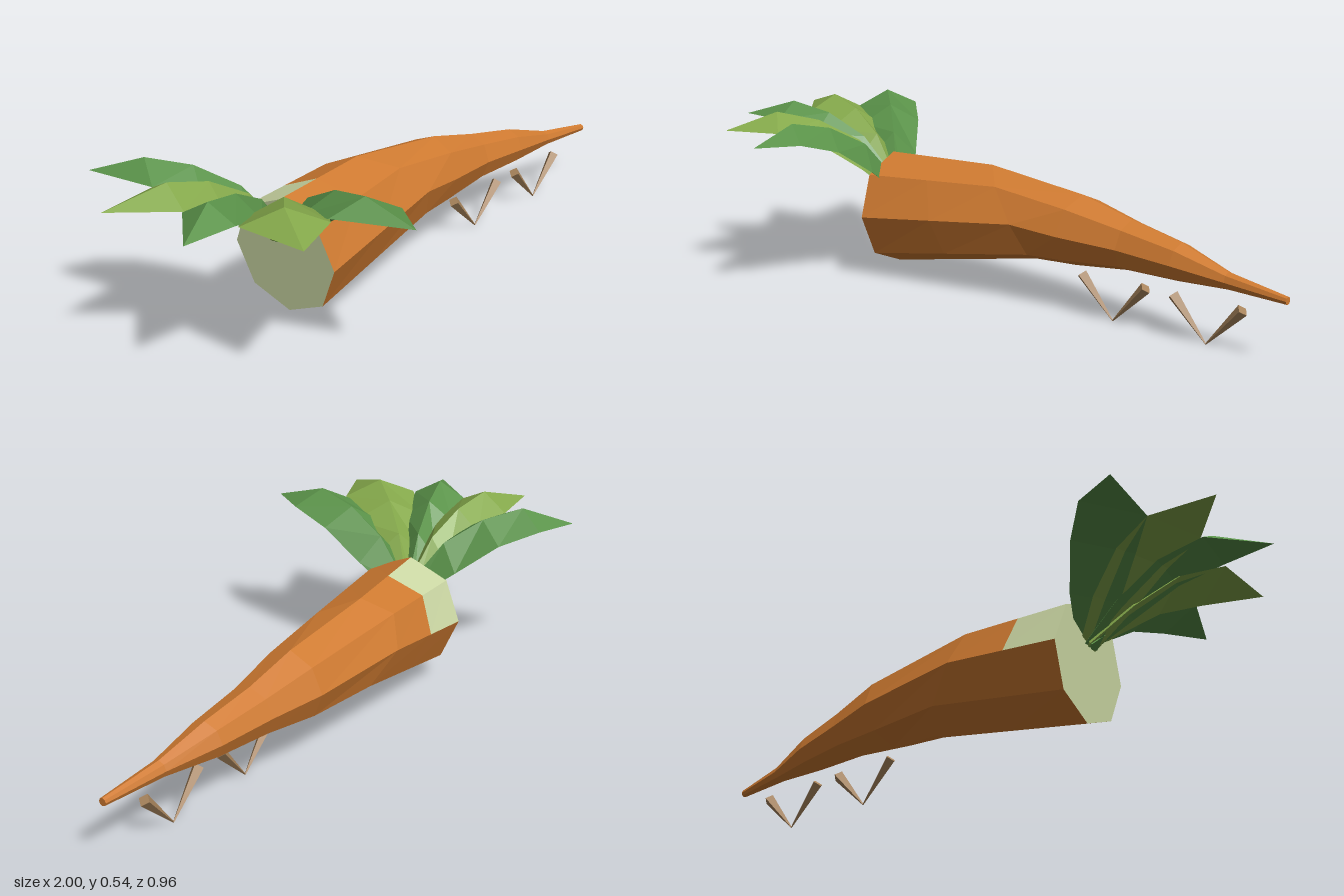
import * as THREE from 'three';

const mat = (name, color) => new THREE.MeshStandardMaterial({ name, color });

// Skin a list of equal-length rings with flat faces; keep(i, j) chooses faces,
// where i = -1 is the start cap and i = rings.length - 1 the end cap.
function loft(rings, keep = () => true) {
  const pos = [], n = rings[0].length, last = rings.length - 1;
  const tri = (...pts) => pts.forEach(p => pos.push(...p));
  const centre = ring => [0, 1, 2].map(k => ring.reduce((s, p) => s + p[k], 0) / n);
  for (let j = 0; j < n; j++) {
    const k = (j + 1) % n;
    if (keep(-1, j)) tri(centre(rings[0]), rings[0][j], rings[0][k]);
    for (let i = 0; i < last; i++) {
      if (!keep(i, j)) continue;
      const a = rings[i][j], b = rings[i + 1][j], c = rings[i + 1][k], d = rings[i][k];
      tri(a, b, c);
      tri(a, c, d);
    }
    if (keep(last, j)) tri(centre(rings[last]), rings[last][k], rings[last][j]);
  }
  const geo = new THREE.BufferGeometry();
  geo.setAttribute('position', new THREE.Float32BufferAttribute(pos, 3));
  geo.computeVertexNormals();
  return geo;
}

export function createModel() {
  const model = new THREE.Group();
  model.name = 'carrot';
  const orange = mat('carrotOrange', 0xd07b31);
  const pale = mat('paleGreen', 0xccd8a4);
  const darkGreen = mat('leafGreen', 0x5a9249);
  const lightGreen = mat('lightLeafGreen', 0x85a94b);
  const brown = mat('rootBrown', 0xa8845c);
  const add = (parent, name, geo, material) => {
    const mesh = new THREE.Mesh(geo, material);
    mesh.name = name;
    parent.add(mesh);
    return mesh;
  };

  // Tapering eight-sided body: x, y, z, radius, x slant by height, x slant by depth
  const sections = [
    [-0.47, 0.212, -0.082, 0.184, -0.012, 0.018],
    [-0.01, 0.258, -0.137, 0.138, -0.09, 0.09],
    [0.25, 0.243, -0.132, 0.113, 0.01, -0.01],
    [0.44, 0.232, -0.125, 0.079, 0.005, 0],
    [0.625, 0.218, -0.11, 0.059, 0.005, 0],
    [0.8, 0.2, -0.089, 0.026, 0, 0],
    [1, 0.187, -0.068, 0.012, 0, 0],
  ];
  // Extra section where the pale shoulder ends
  sections.splice(1, 0, sections[0].map((v, k) => v + (sections[1][k] - v) * 0.47));
  const bodyRings = sections.map(([x, y, z, r, sy, sz]) =>
    Array.from({ length: 8 }, (_, j) => {
      const s = Math.sin(j * Math.PI / 4), c = Math.cos(j * Math.PI / 4);
      return [x + s * sy + c * sz, y + s * r, z + c * r];
    }));
  const isPale = (i, j) => i === -1 || (i === 0 && (j === 2 || j === 3));
  add(model, 'body', loft(bodyRings, (i, j) => !isPale(i, j)), orange);
  add(model, 'paleShoulder', loft(bodyRings, isPale), pale);

  // Five ridged leaves: widest point (x, z), half width (x, z), tip (x, z)
  const leaves = new THREE.Group();
  leaves.name = 'leaves';
  model.add(leaves);
  const root = [-0.465, -0.08];
  // Along the leaf: distance, width, ridge height, edge height
  const steps = [
    [0, 0.3, 0.3, 0.26],
    [0.31, 0.75, 0.44, 0.36],
    [0.65, 0.97, 0.51, 0.45],
    [1, 1, 0.54, 0.49],
  ];
  [
    [[-0.75, -0.34], [-0.05, 0.09], [-0.84, -0.48]],
    [[-0.825, -0.155], [-0.025, 0.095], [-1, -0.22]],
    [[-0.838, 0.025], [0.018, 0.085], [-0.99, 0.1]],
    [[-0.73, 0.2], [0.09, 0.08], [-0.81, 0.35]],
    [[-0.54, 0.31], [0.09, 0.05], [-0.53, 0.48]],
  ].forEach(([peak, half, tip], n) => {
    const rings = steps.map(([t, w, ridge, edge]) => {
      const x = root[0] + (peak[0] - root[0]) * t, z = root[1] + (peak[1] - root[1]) * t;
      const hx = half[0] * w, hz = half[1] * w;
      return [[x - hx, edge, z - hz], [x, ridge, z], [x + hx, edge, z + hz]];
    });
    rings.push(Array(3).fill([tip[0], 0.49, tip[1]]));
    add(leaves, 'leaf', loft(rings), n % 2 ? lightGreen : darkGreen);
  });

  // Two V-shaped pairs of four-sided rootlets under the body
  for (const x of [0.415, 0.74]) {
    const pair = new THREE.Group();
    pair.name = 'rootletPair';
    pair.position.set(x, 0.001, -0.08);
    for (const side of [-1, 1]) {
      const geo = new THREE.CylinderGeometry(0.019, 0.002, 0.17, 4).toNonIndexed();
      geo.translate(0, 0.085, 0);
      geo.computeVertexNormals();
      add(pair, 'rootlet', geo, brown).rotation.z = -side * 0.74;
    }
    model.add(pair);
  }
  return model;
}
